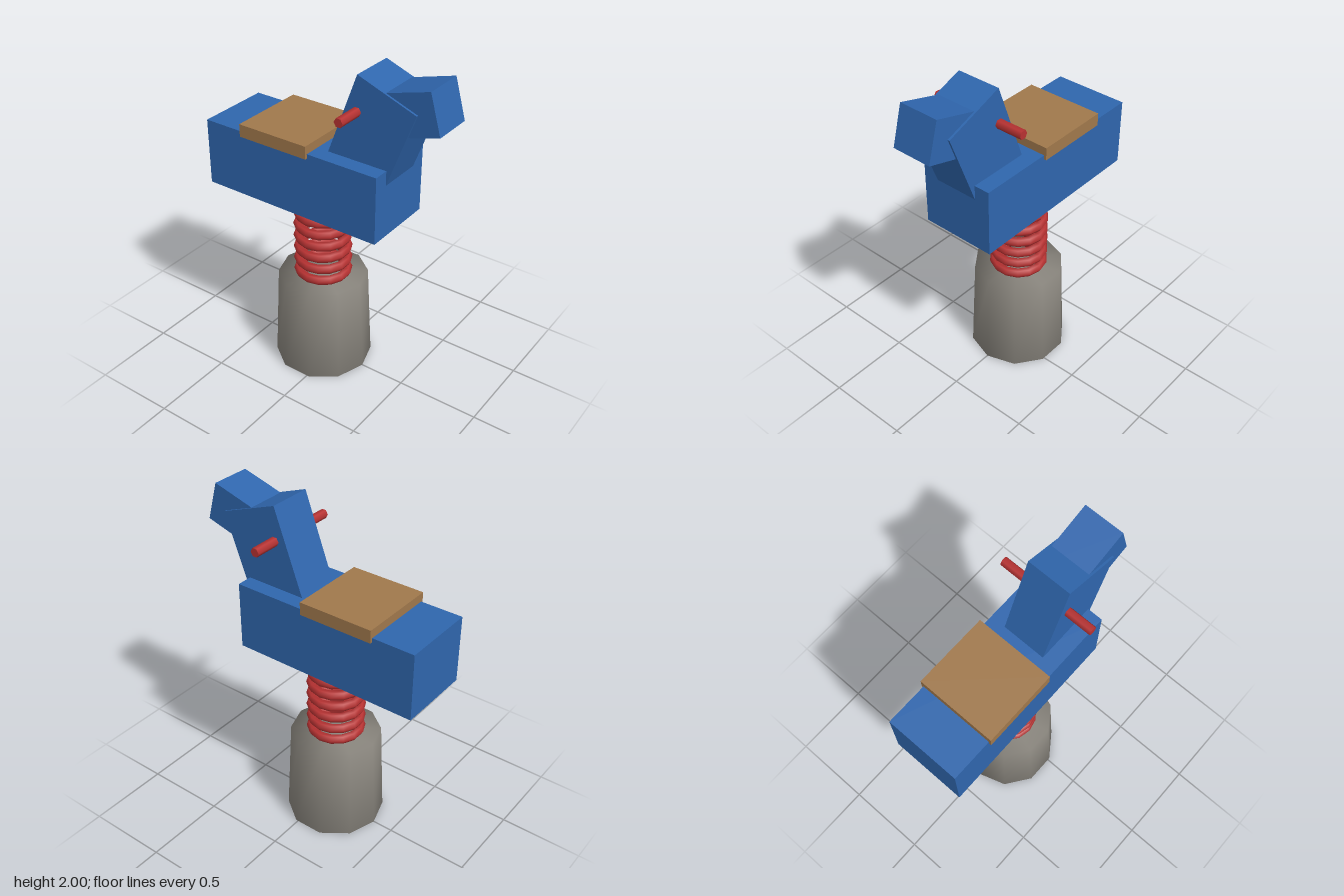
import * as THREE from 'three';
import { mergeVertices } from 'three/addons/utils/BufferGeometryUtils.js';

const material = (name, color) => {
  const m = new THREE.MeshStandardMaterial({ color });
  m.name = name;
  return m;
};

// Weld all corners so shading rolls over the rims
function weldSmooth(geometry) {
  geometry.deleteAttribute('normal');
  geometry.deleteAttribute('uv');
  const welded = mergeVertices(geometry, 1e-4);
  welded.computeVertexNormals();
  return welded;
}

export function createModel() {
  const blue = material('blue paint', 0x2f66ad);
  const red = material('red metal', 0xb83232);
  const wood = material('wood', 0xa0784c);
  const stone = material('grey concrete', 0x8c8880);

  const model = new THREE.Group();
  model.name = 'springRider';
  const add = (name, geometry, mat, x, y, z, tilt = 0) => {
    const mesh = new THREE.Mesh(geometry, mat);
    mesh.name = name;
    mesh.position.set(x, y, z);
    mesh.rotation.x = tilt;
    model.add(mesh);
    return mesh;
  };
  const box = (w, h, d) => new THREE.BoxGeometry(w, h, d);
  const postZ = -0.078;

  // Tapered ten-sided footing
  add('base', weldSmooth(new THREE.CylinderGeometry(0.268, 0.295, 0.595, 10)), stone, 0, 0.2975, postZ);

  // Spring as a stack of rings
  const ring = new THREE.TorusGeometry(0.147, 0.0275, 6, 14);
  for (let i = 0; i < 6; i++) {
    add('springRing' + (i + 1), ring, red, 0, 0.621 + i * 0.0785, postZ, Math.PI / 2);
  }

  // Body and seat
  add('body', box(0.455, 0.405, 1.157), blue, 0, 1.2975, -0.148);
  add('seat', box(0.484, 0.077, 0.457), wood, 0, 1.5125, -0.242);

  // Forward-leaning neck and raised head
  add('neck', box(0.267, 0.7, 0.379), blue, 0, 1.595, 0.296, 0.355);
  add('head', box(0.242, 0.238, 0.4), blue, 0, 1.831, 0.501, -0.28);

  // Hexagonal handlebar through the neck
  const handle = add('handlebar', new THREE.CylinderGeometry(0.0275, 0.0275, 0.592, 6), red, 0, 1.784, 0.24);
  handle.rotation.z = Math.PI / 2;

  return model;
}
